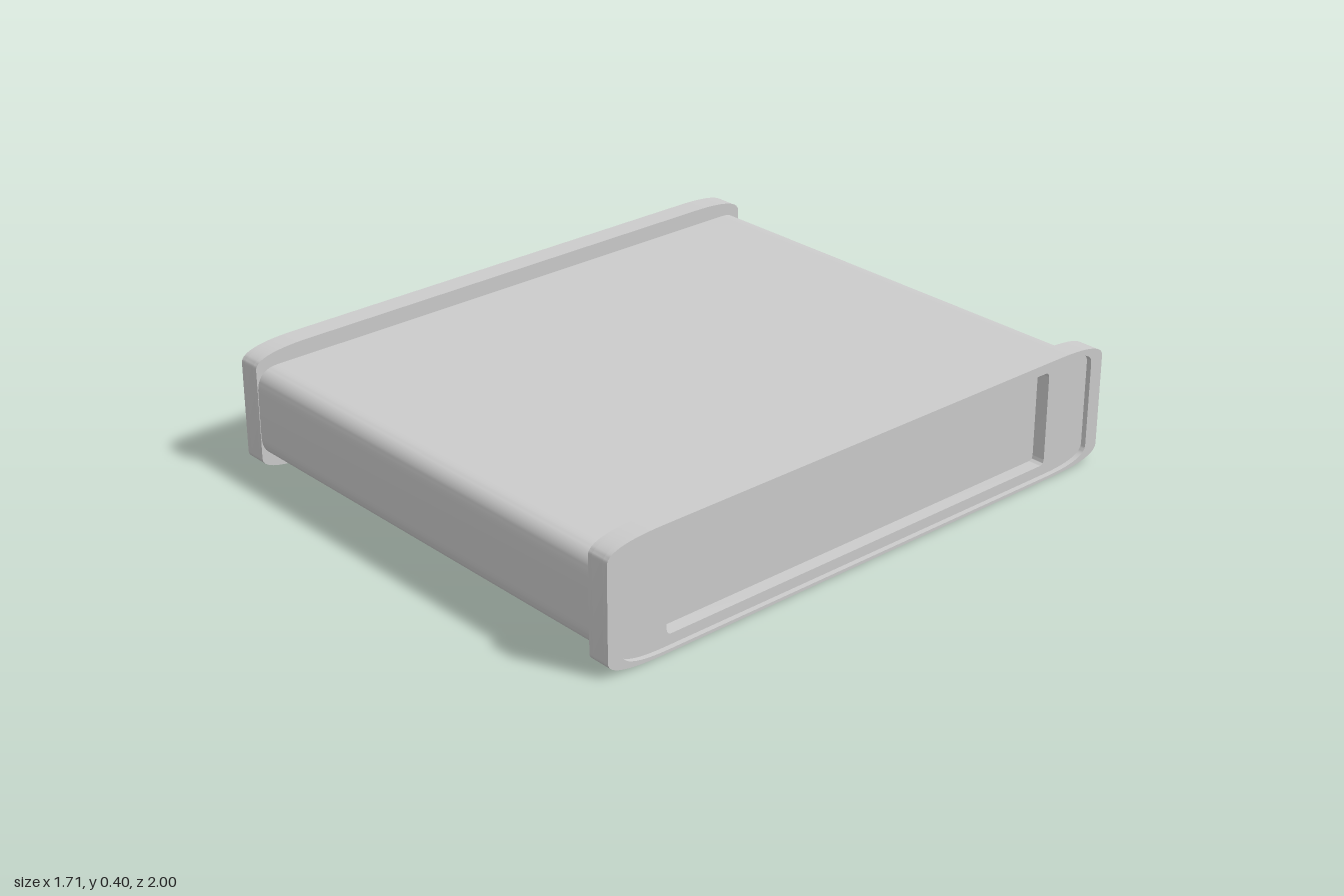
import * as THREE from 'three';
import { toCreasedNormals } from 'three/addons/utils/BufferGeometryUtils.js';

const MID = 0.2; // height of the centre line

// Rectangle centred on the axis, with corners eased by cz lengthwise and cy in height
function outline(Type, hz, hy, cz, cy) {
  const s = new Type();
  const t = MID + hy, b = MID - hy;
  s.moveTo(-hz + cz, b);
  s.lineTo(hz - cz, b);
  s.quadraticCurveTo(hz, b, hz, b + cy);
  s.lineTo(hz, t - cy);
  s.quadraticCurveTo(hz, t, hz - cz, t);
  s.lineTo(-hz + cz, t);
  s.quadraticCurveTo(-hz, t, -hz, t - cy);
  s.lineTo(-hz, b + cy);
  s.quadraticCurveTo(-hz, b, -hz + cz, b);
  return s;
}

// Extrude an outline along x from x0 to x1
function slab(name, shape, x0, x1, material) {
  let geo = new THREE.ExtrudeGeometry(shape, { depth: x1 - x0, bevelEnabled: false, curveSegments: 14 });
  geo.translate(0, 0, x0);
  geo.rotateY(Math.PI / 2);
  geo = toCreasedNormals(geo, 0.6);
  const mesh = new THREE.Mesh(geo, material);
  mesh.name = name;
  return mesh;
}

export function createModel() {
  const grey = new THREE.MeshStandardMaterial({ color: 0xcccccc });
  const model = new THREE.Group();
  model.name = 'enclosure';

  // Main housing with rounded long edges
  model.add(slab('housing', outline(THREE.Shape, 0.998, 0.148, 0.075, 0.075), -0.78, 0.78, grey));

  // End caps: floor, panel with a rectangular pocket, raised rim
  const capShape = () => outline(THREE.Shape, 1, 0.2, 0.2, 0.15 / 3);
  for (const side of [1, -1]) {
    const cap = new THREE.Group();
    cap.name = side > 0 ? 'leftEndCap' : 'rightEndCap';
    cap.add(slab('capFloor', capShape(), 0.78, 0.795, grey));

    const panel = capShape();
    panel.holes.push(outline(THREE.Path, 0.775, 0.156, 0.02, 0.02));
    cap.add(slab('capPanel', panel, 0.795, 0.84, grey));

    const rim = capShape();
    rim.holes.push(outline(THREE.Path, 0.95, 0.19, 0.17, 0.05));
    cap.add(slab('capRim', rim, 0.84, 0.857, grey));

    if (side < 0) cap.rotation.y = Math.PI;
    model.add(cap);
  }
  return model;
}
